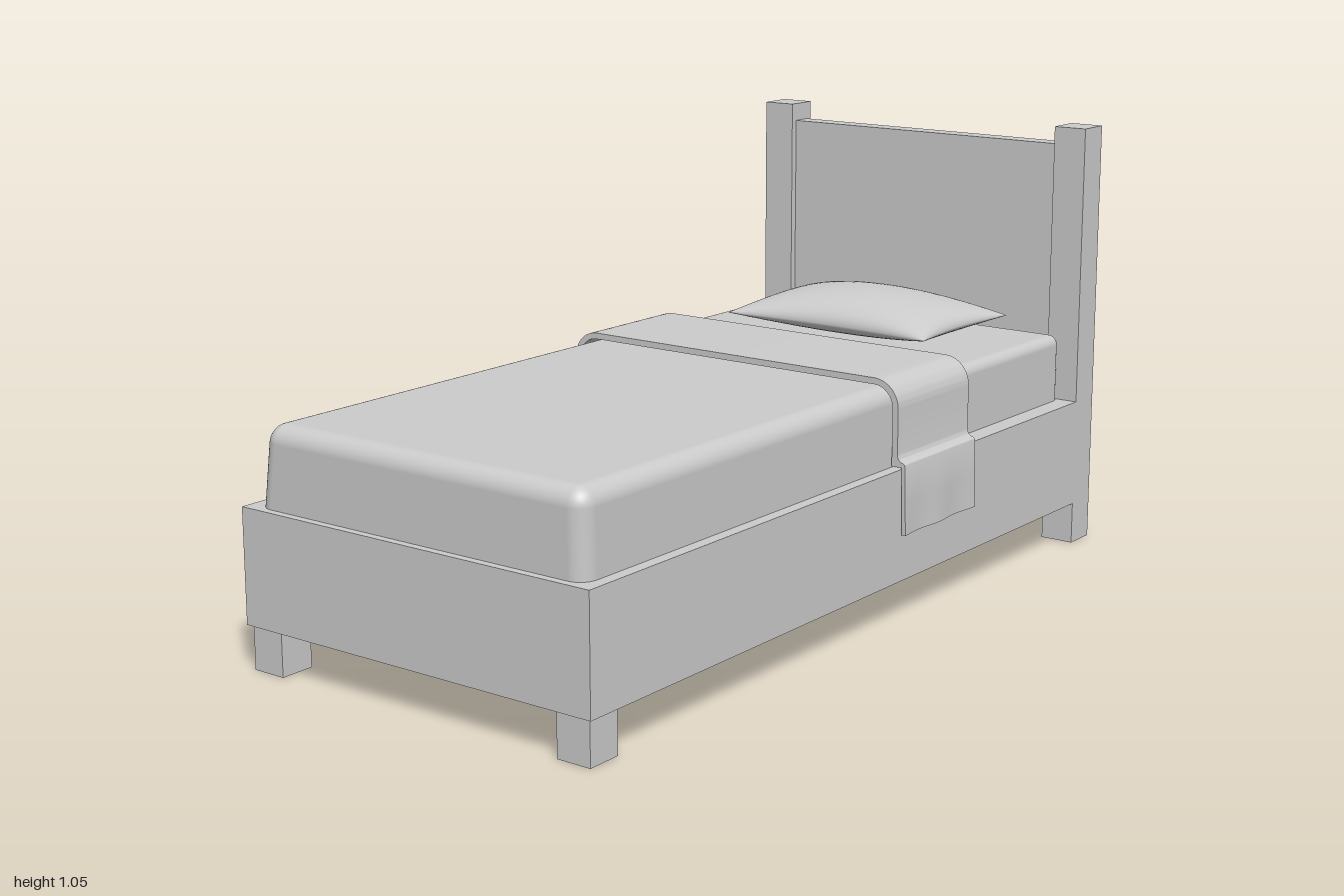
import * as THREE from 'three';
import { mergeVertices, mergeGeometries, toCreasedNormals } from 'three/addons/utils/BufferGeometryUtils.js';
import { RoundedBoxGeometry } from 'three/addons/geometries/RoundedBoxGeometry.js';

const material = new THREE.MeshStandardMaterial({ color: 0xcccccc });

// Moves every vertex of a geometry by a rule
function warp(geometry, rule) {
  const p = geometry.attributes.position;
  const v = new THREE.Vector3();
  for (let i = 0; i < p.count; i++) {
    rule(v.fromBufferAttribute(p, i));
    p.setXYZ(i, v.x, v.y, v.z);
  }
  return geometry;
}

// Joins vertices so that normals run smoothly over seams
function smooth(geometry) {
  geometry.deleteAttribute('normal');
  geometry.deleteAttribute('uv');
  const merged = mergeVertices(geometry, 1e-4);
  merged.computeVertexNormals();
  return merged;
}

// Box geometry given by its extents, optionally rounded
function span(x0, x1, y0, y1, z0, z1, radius = 0) {
  const size = [x1 - x0, y1 - y0, z1 - z0];
  const g = radius ? new RoundedBoxGeometry(...size, 5, radius) : new THREE.BoxGeometry(...size);
  return g.translate((x0 + x1) / 2, (y0 + y1) / 2, (z0 + z1) / 2);
}

// Duvet: rounded block flaring slightly towards the bottom
function duvetGeometry() {
  const g = span(-0.44, 0.44, 0.25, 0.55, -0.38, 0.97, 0.04);
  return warp(g, (v) => {
    const flare = Math.max(0, 0.53 - v.y) * 0.07;
    v.x += Math.sign(v.x) * flare;
    if (v.z > 0.5) v.z += flare;
  });
}

// Blanket band: thin section over the duvet and down outside the rails
function blanketGeometry() {
  const half = new THREE.Path();
  half.moveTo(0, 0.57).lineTo(0.405, 0.57);
  half.absarc(0.405, 0.505, 0.065, Math.PI / 2, 0, true);
  half.lineTo(0.47, 0.4);
  half.quadraticCurveTo(0.472, 0.385, 0.484, 0.383);
  half.quadraticCurveTo(0.491, 0.382, 0.491, 0.37);
  half.lineTo(0.491, 0.29).lineTo(0.493, 0.215).lineTo(0.482, 0.215);
  half.lineTo(0.482, 0.372).lineTo(0.455, 0.372).lineTo(0.455, 0.505);
  half.absarc(0.405, 0.505, 0.05, 0, Math.PI / 2, false);
  half.lineTo(0, 0.555);
  const right = half.getPoints(8);
  const left = right.slice(1, -1).reverse().map((p) => new THREE.Vector2(-p.x, p.y));
  const g = new THREE.ExtrudeGeometry(new THREE.Shape([...right, ...left]), {
    depth: 0.305, steps: 14, bevelEnabled: false,
  });
  g.translate(0, 0, -0.405);
  // Soft ripple in the hanging flaps
  warp(g, (v) => {
    const drop = THREE.MathUtils.clamp((0.37 - v.y) / 0.155, 0, 1);
    v.x += Math.sign(v.x) * drop * 0.003 * Math.cos((v.z + 0.4) * 40);
  });
  return toCreasedNormals(g, 0.6);
}

// Pillow: two domed sheets with drawn-in edges and pointed corners
function pillowGeometry() {
  const sheet = (height, flip) => {
    const g = new THREE.PlaneGeometry(2, 2, 32, 24).rotateX(flip ? Math.PI / 2 : -Math.PI / 2);
    return warp(g, (v) => {
      const u = Math.sin(v.x * Math.PI / 2);
      const w = Math.sin(v.z * Math.PI / 2);
      const dome = Math.pow(Math.max(0, (1 - u * u) * (1 - w * w)), 0.5);
      const pinchX = 1 - 0.08 * (1 - w * w);
      const pinchZ = 1 - 0.14 * (1 - u * u);
      v.set(u * 0.292 * pinchX, 0.572 + height * dome, -0.687 + w * 0.197 * pinchZ);
    });
  };
  return smooth(mergeGeometries([sheet(0.074, false), sheet(-0.042, true)]));
}

export function createModel() {
  const bed = new THREE.Group();
  bed.name = 'bed';
  const add = (name, geometry) => {
    const mesh = new THREE.Mesh(geometry, material);
    mesh.name = name;
    bed.add(mesh);
  };

  // Wooden frame
  add('bedFrame', span(-0.48, 0.48, 0.103, 0.368, -0.918, 1));
  add('headboard', span(-0.4, 0.4, 0.103, 1.01, -0.985, -0.933));
  for (const [side, s] of [['left', 1], ['right', -1]]) {
    add(side + 'HeadPost', span(-0.0425, 0.0425, 0, 1.055, -1, -0.915).translate(s * 0.4375, 0, 0));
    add(side + 'FrontLeg', span(-0.0425, 0.0425, 0, 0.11, 0.905, 0.99).translate(s * 0.4275, 0, 0));
  }

  // Bedding
  add('mattress', span(-0.43, 0.43, 0.2, 0.535, -0.915, 0.9, 0.025));
  add('duvet', duvetGeometry());
  add('blanketBand', blanketGeometry());
  add('pillow', pillowGeometry());
  return bed;
}
